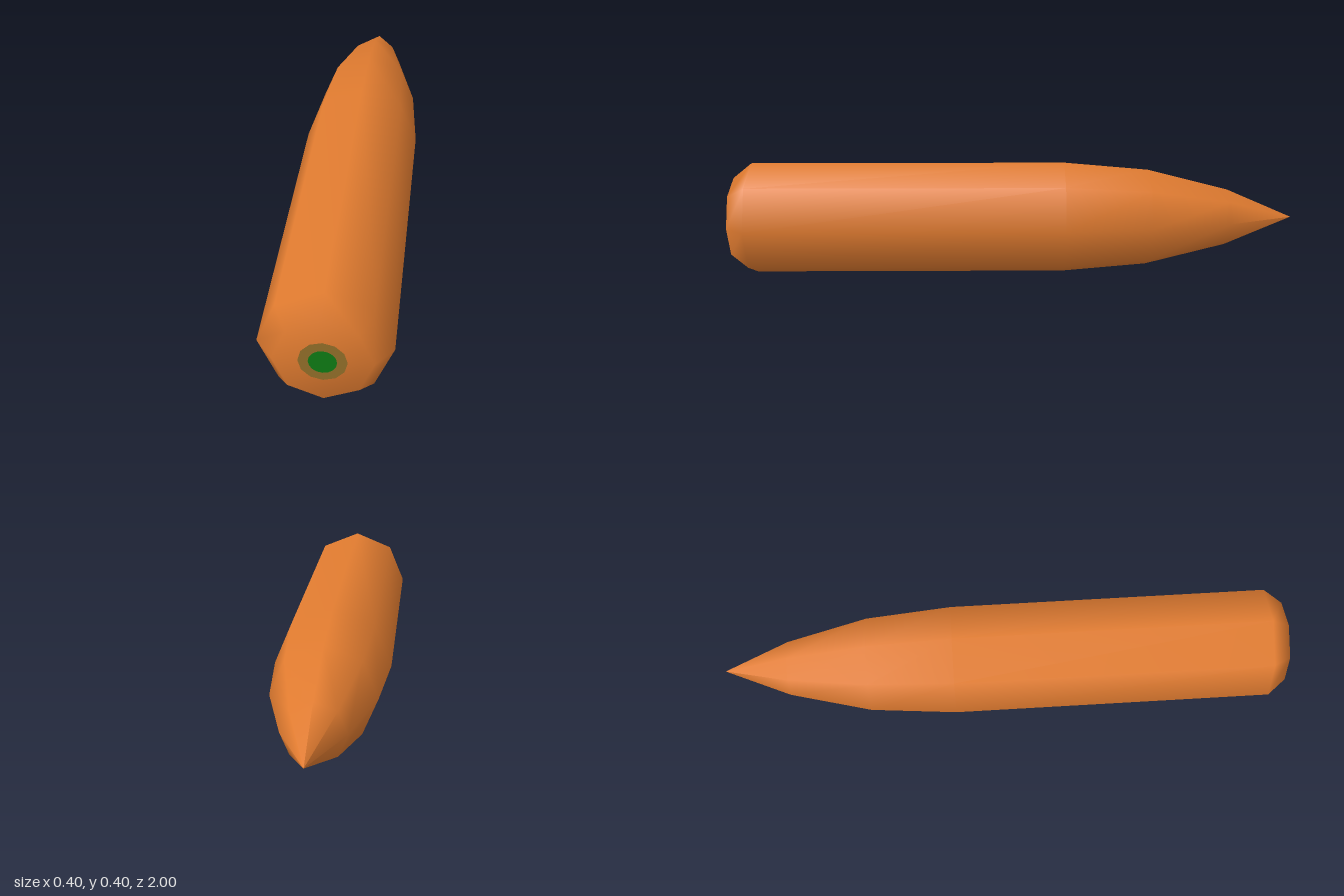
import * as THREE from 'three';

const RADIUS = 0.2015;

export function createModel() {
  const group = new THREE.Group();
  group.name = 'taperedRound';

  const orange = new THREE.MeshStandardMaterial({ color: 0xe27c30 });
  orange.name = 'orange casing';
  const olive = new THREE.MeshStandardMaterial({ color: 0x94702a });
  olive.name = 'olive ring';
  const green = new THREE.MeshStandardMaterial({ color: 0x0e7d14 });
  green.name = 'green centre';

  // Eight-sided smooth body: flat bevelled base at +z, ogive tip at -z
  const profile = [
    [0, -0.997], [0.148, -0.997], [RADIUS, -0.93], [RADIUS, 0.18],
    [0.175, 0.48], [0.102, 0.765], [0, 1],
  ].map(([r, y]) => new THREE.Vector2(r, y));
  const body = new THREE.Mesh(new THREE.LatheGeometry(profile, 8).rotateX(-Math.PI / 2), orange);
  body.name = 'body';
  body.position.y = RADIUS;
  group.add(body);

  // Thin painted plates on the base
  const addPlate = (name, geometry, material, z) => {
    const plate = new THREE.Mesh(geometry, material);
    plate.name = name;
    plate.position.set(0, RADIUS, z);
    group.add(plate);
  };
  addPlate('baseRing', new THREE.CircleGeometry(0.072, 12), olive, 0.9985);
  addPlate('baseCentre', new THREE.CircleGeometry(0.042, 16), green, 1);

  return group;
}
